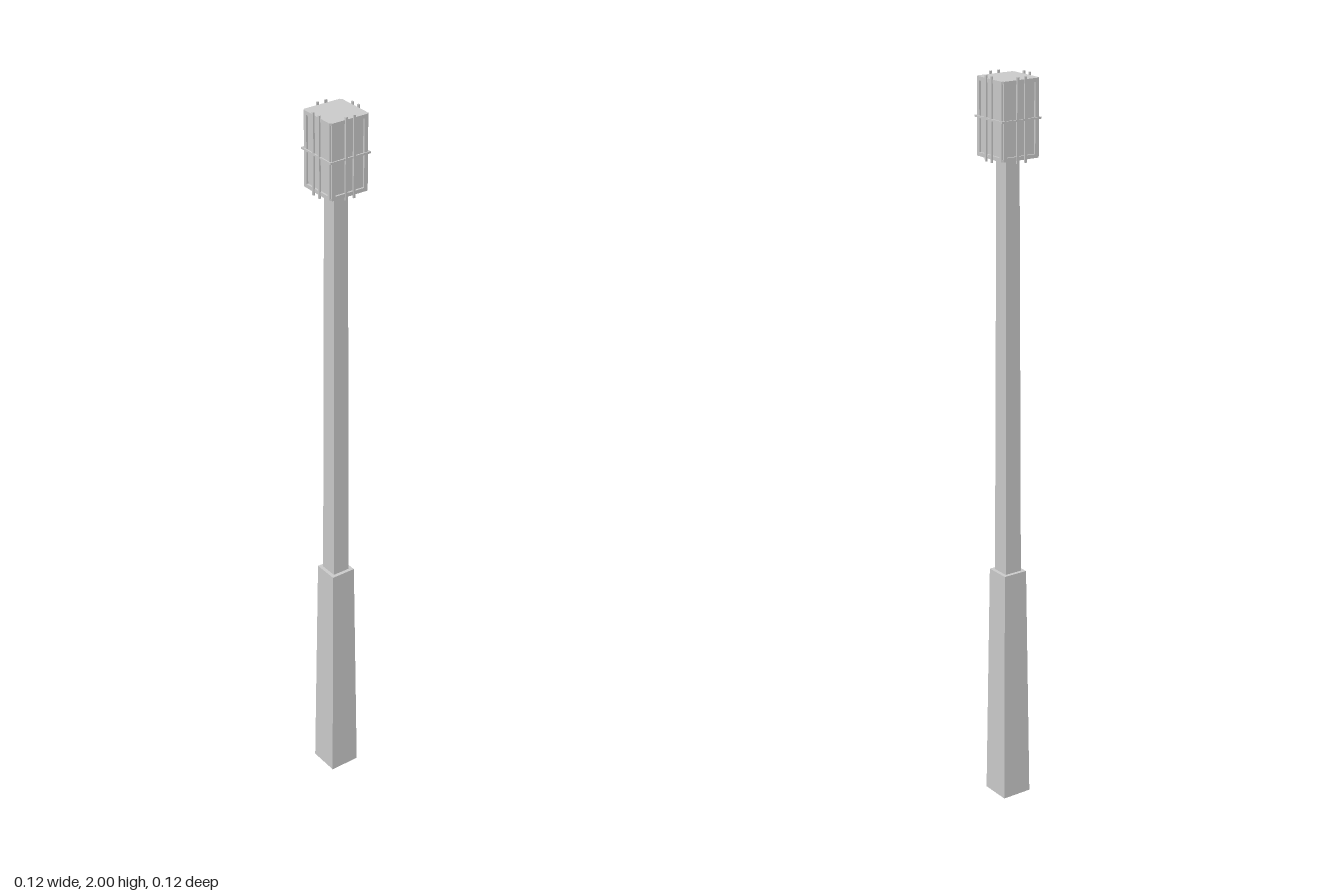
import * as THREE from 'three';

const material = new THREE.MeshStandardMaterial({ color: 0xcccccc, flatShading: true });

function add(parent, name, geometry, x = 0, y = 0, z = 0) {
  const mesh = new THREE.Mesh(geometry, material);
  mesh.name = name;
  mesh.position.set(x, y, z);
  parent.add(mesh);
}

// Square post tapering between two half widths
function taperedPost(bottomHalf, topHalf, height) {
  return new THREE.CylinderGeometry(topHalf * Math.SQRT2, bottomHalf * Math.SQRT2, height, 4)
    .rotateY(Math.PI / 4);
}

const box = (w, h, d) => new THREE.BoxGeometry(w, h, d);

export function createModel() {
  const model = new THREE.Group();
  model.name = 'lampPost';

  // Post
  add(model, 'base', taperedPost(0.043, 0.035, 0.665), 0, 0.3325, 0);
  add(model, 'shaft', taperedPost(0.025, 0.021, 1.13), 0, 1.225, 0);

  // Lantern body with roof and floor plates
  const lantern = new THREE.Group();
  lantern.name = 'lantern';
  lantern.position.y = 1.8925;
  model.add(lantern);
  add(lantern, 'lampBox', box(0.104, 0.19, 0.104));
  add(lantern, 'roofPlate', box(0.109, 0.006, 0.109), 0, 0.097, 0);
  add(lantern, 'floorPlate', box(0.109, 0.006, 0.109), 0, -0.097, 0);

  // The same window frame and guard bars on all four faces
  for (let i = 0; i < 4; i++) {
    const face = new THREE.Group();
    face.name = 'lanternFace';
    face.rotation.y = i * Math.PI / 2;
    lantern.add(face);
    for (const s of [-1, 1]) {
      add(face, 'frameStile', box(0.01, 0.2, 0.006), s * 0.048, 0, 0.054);
      add(face, 'frameRail', box(0.086, 0.01, 0.006), 0, s * 0.095, 0.054);
      add(face, 'guardBar', box(0.006, 0.215, 0.0045), s * 0.012, 0, 0.0582);
    }
    add(face, 'guardRing', box(0.12, 0.005, 0.0035), 0, 0, 0.0583);
  }
  return model;
}
